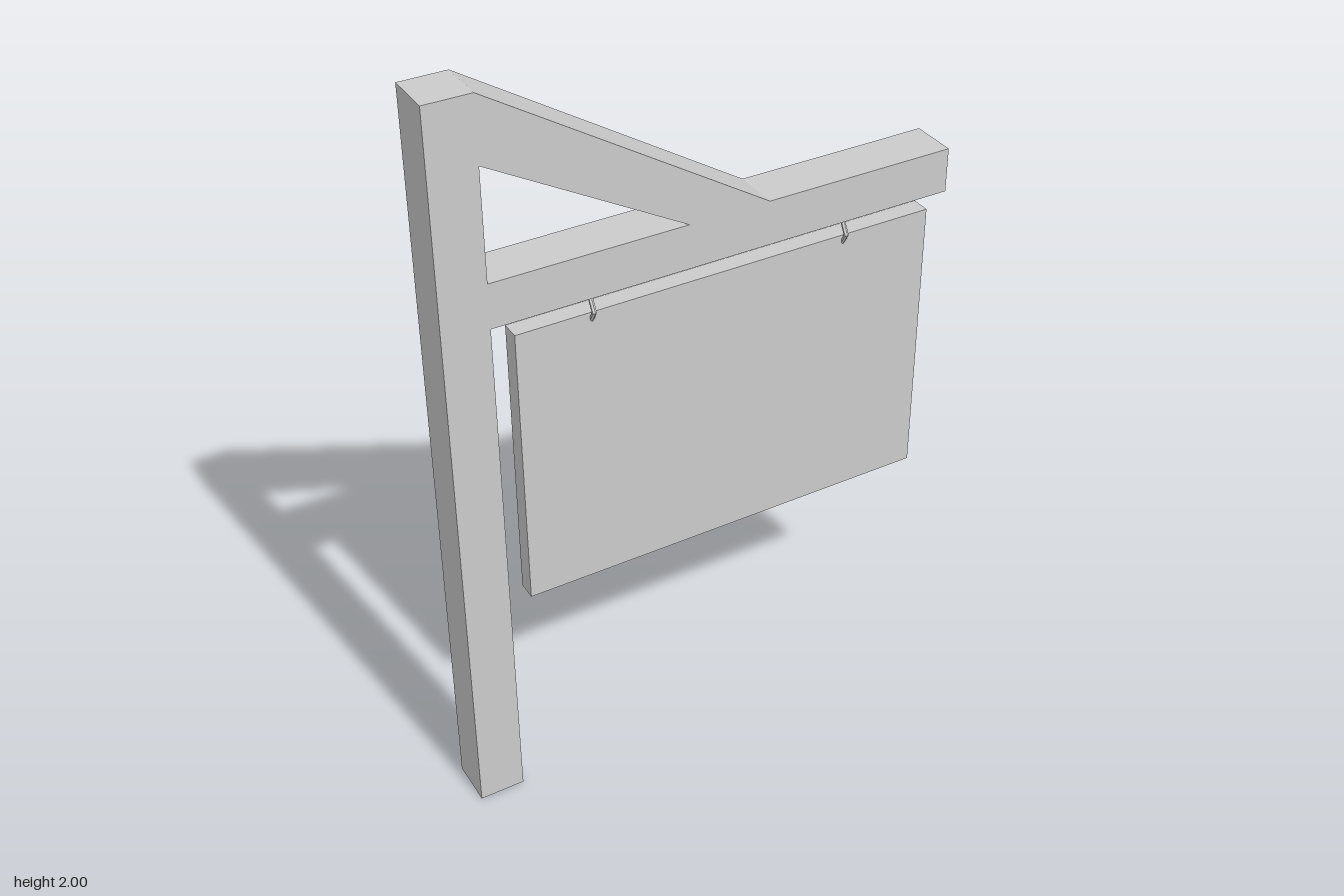
import * as THREE from 'three';

const material = new THREE.MeshStandardMaterial({ color: 0xcccccc, flatShading: true, side: THREE.DoubleSide });

function addMesh(parent, name, geometry, x = 0, y = 0, z = 0) {
  const mesh = new THREE.Mesh(geometry, material);
  mesh.name = name;
  mesh.position.set(x, y, z);
  parent.add(mesh);
  return mesh;
}

const points = (list) => list.map(([x, y]) => new THREE.Vector2(x, y));

export function createModel() {
  const group = new THREE.Group();
  group.name = 'hangingSign';

  // Post, arm and diagonal brace as one timber frame with a triangular opening
  const depth = 0.124;
  const frame = new THREE.Shape(points([
    [-0.68, 0], [-0.56, 0], [-0.56, 1.422], [0.678, 1.422],
    [0.678, 1.54], [0.165, 1.54], [-0.56, 2], [-0.68, 2],
  ]));
  frame.holes.push(new THREE.Path(points([[-0.56, 1.54], [-0.56, 1.83], [-0.052, 1.54]])));
  addMesh(group, 'frame',
    new THREE.ExtrudeGeometry(frame, { depth, bevelEnabled: false }), 0, 0, -depth / 2);

  // Sign board
  addMesh(group, 'board', new THREE.BoxGeometry(1.14, 0.778, 0.05), 0.083, 0.971, 0);

  // Two hangers: a six-sided ring through the board and a short stem to the arm
  for (const x of [-0.29, 0.404]) {
    const hanger = new THREE.Group();
    hanger.name = 'hanger';
    hanger.position.x = x;
    const ring = addMesh(hanger, 'ring', new THREE.TorusGeometry(0.037, 0.006, 6, 6), 0, 1.365, 0);
    ring.rotation.y = Math.PI / 2;
    addMesh(hanger, 'stem', new THREE.CylinderGeometry(0.006, 0.006, 0.03, 6), 0, 1.41, 0);
    group.add(hanger);
  }
  return group;
}
